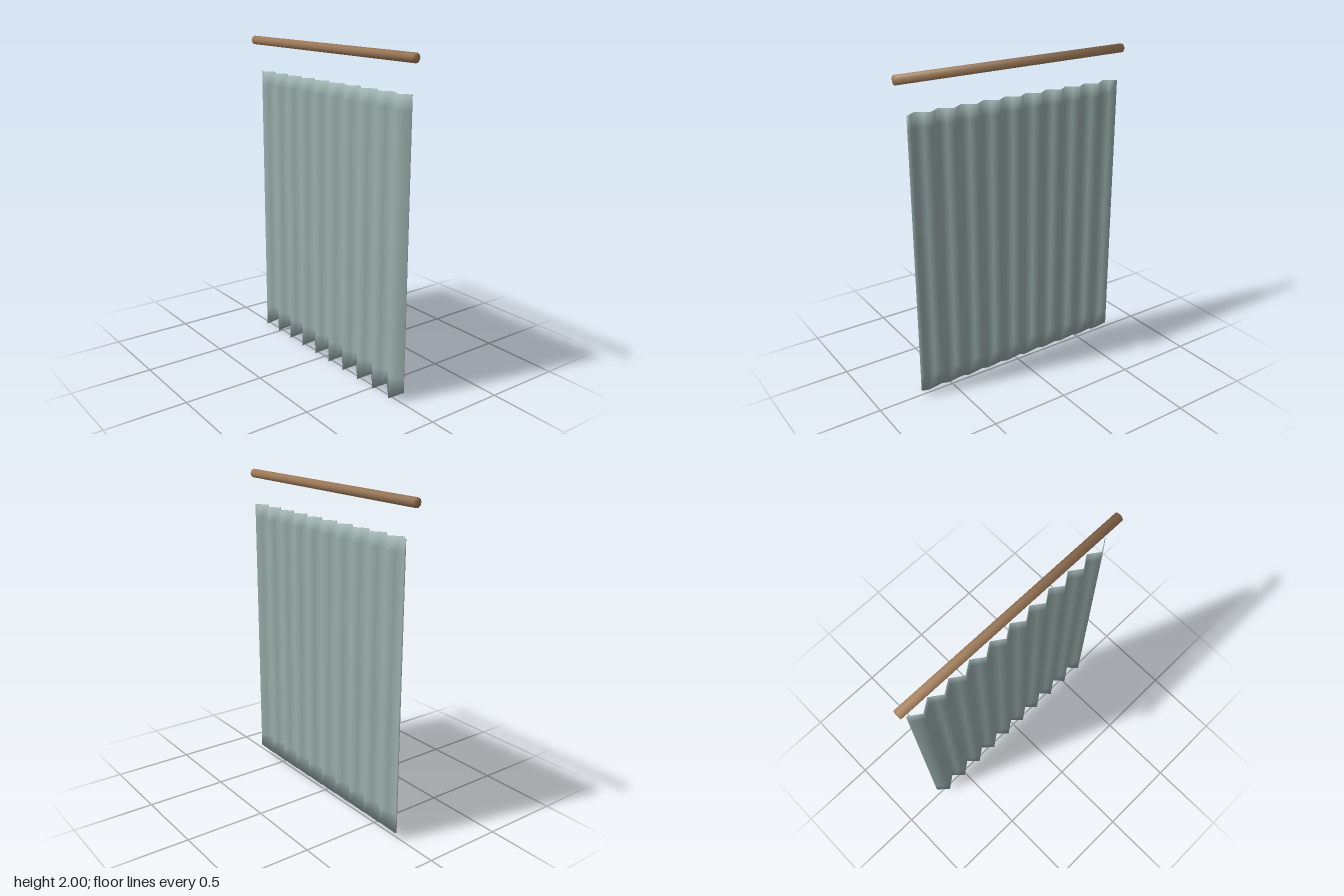
import * as THREE from 'three';

const HALF_WIDTH = 0.73, TOP = 1.78, HEM = 0.05, FOLDS = 10;
const DEPTH = 0.025, THICKNESS = 0.004;
const CLOTH_HEIGHT = TOP - HEM;

// Thin pleated cloth: a subdivided box pushed into straight folds,
// with normals blended round its edges.
function pleatedCloth() {
  const geo = new THREE.BoxGeometry(HALF_WIDTH * 2, CLOTH_HEIGHT, THICKNESS, FOLDS * 4, 20, 1);
  const pos = geo.attributes.position, nor = geo.attributes.normal;
  const n = new THREE.Vector3(), eps = 1e-4;
  const pitch = HALF_WIDTH * 2 / FOLDS;
  for (let i = 0; i < pos.count; i++) {
    const x = pos.getX(i), y = pos.getY(i), z = pos.getZ(i);
    const quarter = Math.round((x + HALF_WIDTH) / pitch * 4) % 4;
    const fold = [-1, 0, 1, 0][quarter];
    const slope = [0, 1, 0, -1][quarter] * DEPTH * 4 / pitch;
    const bottom = y < -CLOTH_HEIGHT / 2 + eps;

    // Front pleats hang lower than the back ones
    const drop = bottom ? HEM * (fold + 1) / 2 : 0;
    pos.setXYZ(i, x, y + CLOTH_HEIGHT / 2 + HEM - drop, z + fold * DEPTH);

    n.set(-slope, 0, 1).normalize().multiplyScalar(Math.sign(z));
    if (bottom) n.y -= 1;
    if (y > CLOTH_HEIGHT / 2 - eps) n.y += 1;
    if (Math.abs(x) > HALF_WIDTH - eps) n.x += Math.sign(x);
    n.normalize();
    nor.setXYZ(i, n.x, n.y, n.z);
  }
  return geo;
}

// Round rod lying along x, shading softened over its ends
function roundRod(radius, length) {
  const geo = new THREE.CylinderGeometry(radius, radius, length, 20);
  const pos = geo.attributes.position, nor = geo.attributes.normal;
  const n = new THREE.Vector3();
  for (let i = 0; i < pos.count; i++) {
    n.set(pos.getX(i) / radius, Math.sign(pos.getY(i)), pos.getZ(i) / radius).normalize();
    nor.setXYZ(i, n.x, n.y, n.z);
  }
  return geo.rotateZ(-Math.PI / 2);
}

export function createModel() {
  const group = new THREE.Group();
  group.name = 'curtain';

  const fabric = new THREE.MeshStandardMaterial({ color: 0x9bb0ae });
  fabric.name = 'greyGreenFabric';
  const wood = new THREE.MeshStandardMaterial({ color: 0xa8825e });
  wood.name = 'brownWood';

  const cloth = new THREE.Mesh(pleatedCloth(), fabric);
  cloth.name = 'cloth';

  const rod = new THREE.Mesh(roundRod(0.0275, 1.555), wood);
  rod.name = 'rod';
  rod.position.y = 2 - 0.0275;

  group.add(cloth, rod);
  return group;
}
